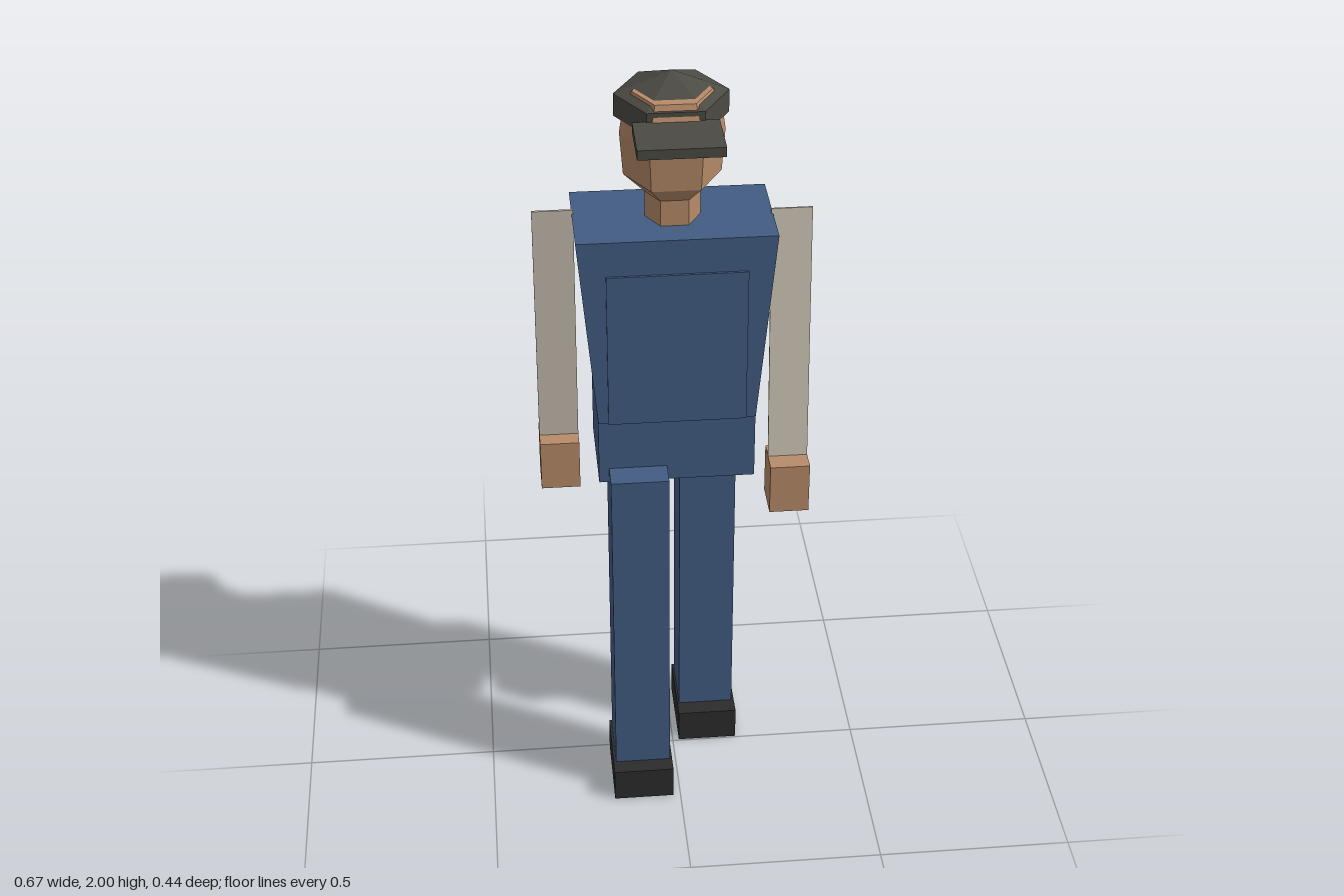
import * as THREE from 'three';

const flat = (name, color) => new THREE.MeshStandardMaterial({ name, color, flatShading: true });

export function createModel() {
  const group = new THREE.Group();
  const denim = flat('denim blue', 0x425c82);
  const skin = flat('skin', 0xb78b69);
  const sleeve = flat('sleeve beige', 0xcbc3b4);
  const felt = flat('cap grey', 0x4b4a43);
  const leather = flat('shoe black', 0x2c2c2c);

  const add = (name, geometry, material) => {
    const mesh = new THREE.Mesh(geometry, material);
    mesh.name = name;
    group.add(mesh);
    return mesh;
  };
  // Box given by its limits on each axis
  const box = (name, material, [x0, x1], [y0, y1], [z0, z1]) => {
    const mesh = add(name, new THREE.BoxGeometry(x1 - x0, y1 - y0, z1 - z0), material);
    mesh.position.set((x0 + x1) / 2, (y0 + y1) / 2, (z0 + z1) / 2);
    return mesh;
  };
  // Six-sided turned form with a flat face to the front
  const hexForm = (name, material, profile, z) => {
    const points = profile.map(([r, y]) => new THREE.Vector2(r, y));
    add(name, new THREE.LatheGeometry(points, 6, Math.PI / 2), material).position.z = z;
  };

  // Torso: chest tapers towards the waist
  const chest = box('chest', denim, [-0.24, 0.24], [1.14, 1.64], [-0.153, 0.118]);
  const p = chest.geometry.attributes.position;
  for (let i = 0; i < p.count; i++) if (p.getY(i) < 0) p.setX(i, p.getX(i) * 0.81);
  box('waist', denim, [-0.195, 0.195], [0.96, 1.14], [-0.14, 0.108]);
  box('bib', denim, [-0.17, 0.17], [1.14, 1.55], [0.116, 0.124]);

  // Legs and shoes in mid-stride, right one forward
  box('rightLeg', denim, [-0.17, -0.025], [0.09, 1.0], [0.02, 0.178]);
  box('leftLeg', denim, [0.022, 0.168], [0.09, 1.0], [-0.208, -0.05]);
  box('rightShoe', leather, [-0.177, -0.019], [0, 0.093], [0.006, 0.221]);
  box('leftShoe', leather, [0.017, 0.175], [0, 0.093], [-0.221, -0.004]);

  // Thin swinging arms with block hands, left one forward
  for (const [side, s, armZ, handZ] of [['left', 1, 0.032, 0.062], ['right', -1, -0.067, -0.098]]) {
    const arm = add(side + 'Arm', new THREE.BoxGeometry(0.1, 0.735, 0.005), sleeve);
    arm.position.set(s * 0.286, 1.286, armZ);
    arm.rotation.x = -s * 0.085;
    box(side + 'Hand', skin, [s * 0.286 - 0.05, s * 0.286 + 0.05], [0.845, 0.98], [handZ - 0.052, handZ + 0.052]);
  }

  // Neck and head
  hexForm('neck', skin, [[0.067, 1.63], [0.067, 1.71]], -0.0135);
  hexForm('head', skin,
    [[0, 1.705], [0.067, 1.705], [0.117, 1.752], [0.125, 1.86], [0.119, 1.9], [0.095, 1.962], [0, 1.962]], -0.0145);

  // Peaked cap
  hexForm('capCrown', felt, [[0, 1.89], [0.136, 1.89], [0.136, 1.946], [0, 2]], -0.041);
  box('capBrim', felt, [-0.101, 0.101], [1.9, 1.924], [0.073, 0.221]);

  return group;
}
